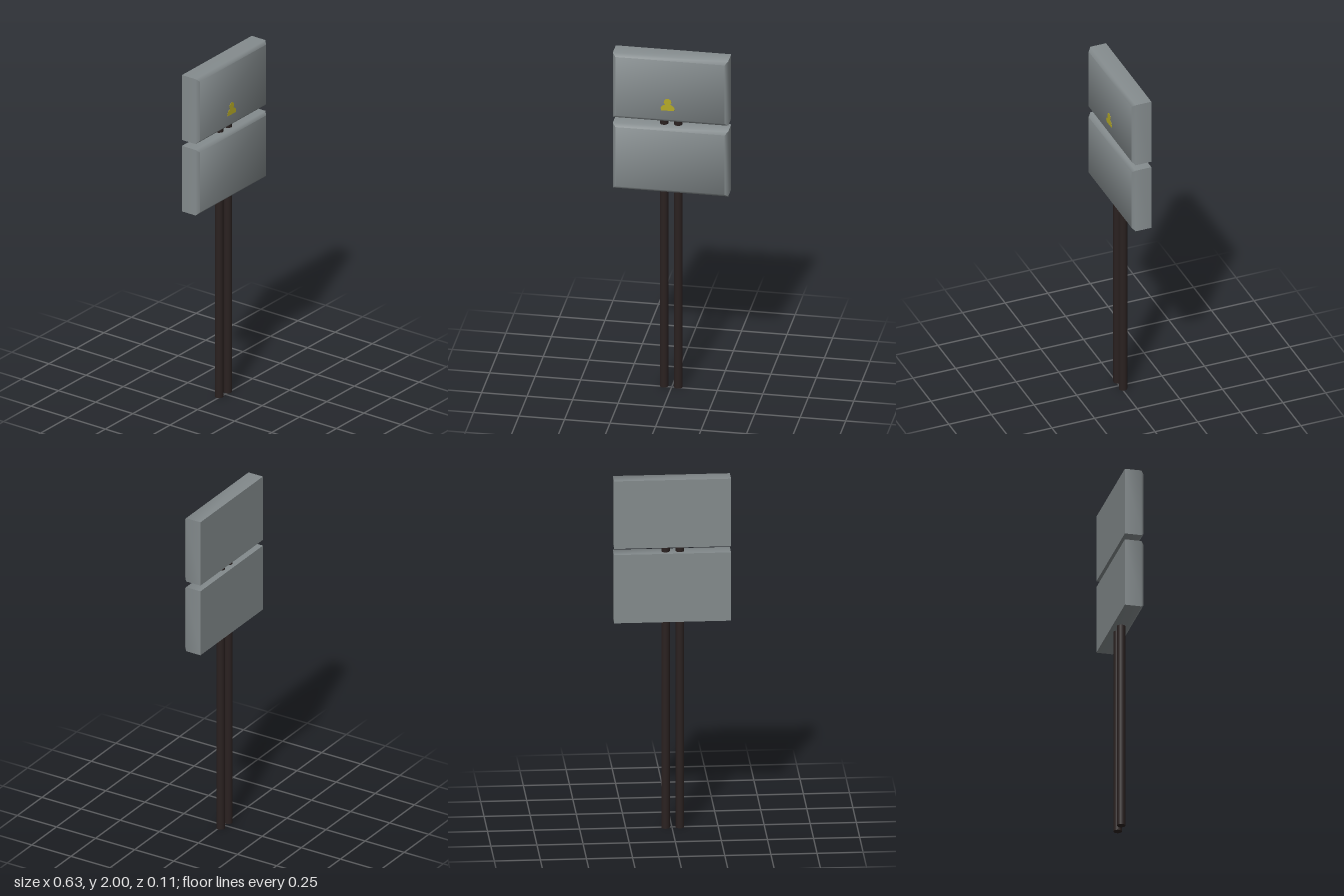
import * as THREE from 'three';
import { toCreasedNormals } from 'three/addons/utils/BufferGeometryUtils.js';

const material = (name, color) => {
  const m = new THREE.MeshStandardMaterial({ color });
  m.name = name;
  return m;
};

// Box whose four front edges are chamfered, blending softly into the front face
function panelGeometry(w, h, zBack, zFront, chamfer) {
  const rings = [[0, zBack], [0, zFront - chamfer], [chamfer, zFront]];
  const positions = [], index = [];
  for (const [inset, z] of rings) {
    const x = w / 2 - inset, y = h / 2 - inset;
    positions.push(-x, -y, z, x, -y, z, x, y, z, -x, y, z);
  }
  for (let r = 0; r < 2; r++) {
    for (let i = 0; i < 4; i++) {
      const a = r * 4 + i, b = r * 4 + (i + 1) % 4;
      index.push(a, b, b + 4, a, b + 4, a + 4);
    }
  }
  index.push(8, 9, 10, 8, 10, 11, 0, 2, 1, 0, 3, 2);
  const g = new THREE.BufferGeometry();
  g.setAttribute('position', new THREE.Float32BufferAttribute(positions, 3));
  g.setIndex(index);
  return toCreasedNormals(g, 0.9);
}

export function createModel() {
  const group = new THREE.Group();
  const grey = material('panel grey', 0x848b8d);
  const dark = material('pole dark brown', 0x2a2120);
  const yellow = material('marker yellow', 0xb5aa26);

  const add = (name, geometry, mat, x, y, z) => {
    const mesh = new THREE.Mesh(geometry, mat);
    mesh.name = name;
    mesh.position.set(x, y, z);
    group.add(mesh);
  };

  // Two stacked panels
  add('upperPanel', panelGeometry(0.634, 0.386, -0.055, 0.054, 0.017), grey, 0, 1.807, 0);
  add('lowerPanel', panelGeometry(0.634, 0.39, -0.055, 0.054, 0.017), grey, 0, 1.384, 0);

  // Twin poles running up through the lower panel into the upper one
  const poleHeight = 1.75;
  const pole = new THREE.CylinderGeometry(0.023, 0.023, poleHeight, 16);
  add('rightPole', pole, dark, -0.043, poleHeight / 2, -0.007);
  add('leftPole', pole, dark, 0.035, poleHeight / 2, -0.007);

  // Small painted marker: a rounded knob on a wider base
  const outline = [
    [-0.036, -0.034], [0.036, -0.034], [0.038, -0.018], [0.03, -0.006], [0.014, 0.002],
    [0.021, 0.012], [0.019, 0.026], [0.008, 0.036], [-0.008, 0.036], [-0.019, 0.026],
    [-0.021, 0.012], [-0.014, 0.002], [-0.03, -0.006], [-0.038, -0.018],
  ];
  const shape = new THREE.Shape(outline.map(([x, y]) => new THREE.Vector2(x, y)));
  const plate = new THREE.ExtrudeGeometry(shape, { depth: 0.003, bevelEnabled: false });
  add('marker', plate, yellow, -0.013, 1.719, 0.0525);

  return group;
}
